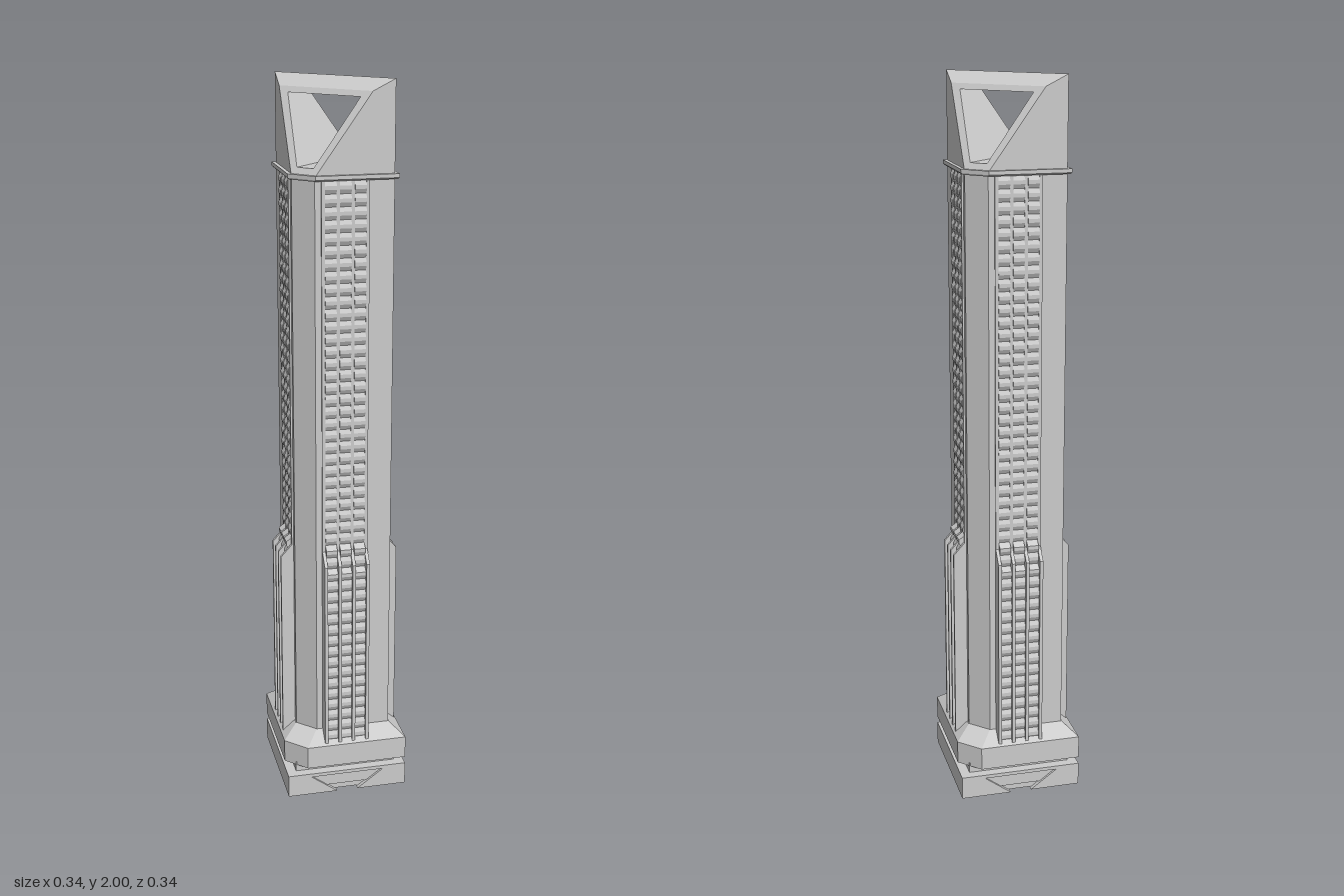
import * as THREE from 'three';

const material = new THREE.MeshStandardMaterial({ color: 0xcccccc, flatShading: true });
const vec = (x, y, z) => new THREE.Vector3(x, y, z);

function add(parent, name, geometry) {
  const mesh = new THREE.Mesh(geometry, material);
  mesh.name = name;
  parent.add(mesh);
  return mesh;
}

// Flat convex faces, each [corners, direction it should face]
function facesGeometry(faces) {
  const positions = [];
  for (const [corners, facing] of faces) {
    const normal = corners[1].clone().sub(corners[0]).cross(corners[2].clone().sub(corners[0]));
    const p = normal.dot(facing) < 0 ? [...corners].reverse() : corners;
    for (let i = 1; i < p.length - 1; i++) {
      for (const q of [p[0], p[i], p[i + 1]]) positions.push(q.x, q.y, q.z);
    }
  }
  const geometry = new THREE.BufferGeometry();
  geometry.setAttribute('position', new THREE.Float32BufferAttribute(positions, 3));
  geometry.computeVertexNormals();
  return geometry;
}

// Square outline with two opposite corners cut off
const outline = (y, h, c) => [
  [h, h], [c - h, h], [-h, h - c], [-h, -h], [h - c, -h], [h, c - h],
].map(([x, z]) => vec(x, y, z));

// Stack of cut squares, each level [y, half width, corner cut]
function loft(levels) {
  const rings = levels.map((l) => outline(...l));
  const faces = [[rings[0], vec(0, -1, 0)], [rings[rings.length - 1], vec(0, 1, 0)]];
  for (let k = 0; k < rings.length - 1; k++) {
    for (let i = 0; i < 6; i++) {
      const j = (i + 1) % 6;
      const a = rings[k][i], b = rings[k][j];
      faces.push([[a, b, rings[k + 1][j], rings[k + 1][i]], vec(a.x + b.x, 0, a.z + b.z)]);
    }
  }
  return facesGeometry(faces);
}

// Side profile of [z, y] points, extruded across x
function sideProfile(points, width) {
  const shape = new THREE.Shape(points.map(([z, y]) => new THREE.Vector2(z, y)));
  return new THREE.ExtrudeGeometry(shape, { depth: width, bevelEnabled: false })
    .translate(0, 0, -width / 2)
    .rotateY(-Math.PI / 2);
}

// Wedge crown with a diagonal ridge and a tapered opening through it
function crownGeometry() {
  const base = 1.76, shoulder = 1.97, top = 2;
  const reach = 0.13 * Math.SQRT2, vShoulder = 0.042, vBase = 0.148;
  // u runs along the ridge, v across it
  const at = (u, v, y) => vec((u - v) * Math.SQRT1_2, y, (u + v) * Math.SQRT1_2);
  const slopeV = (y) => vShoulder + (shoulder - y) / (shoulder - base) * (vBase - vShoulder);
  const hole = [[-0.025, 1.78], [0.025, 1.78], [0.11, 1.955], [-0.11, 1.955]];
  const faces = [];
  for (const s of [-1, 1]) {
    const p = (u, v, y) => at(u, s * v, y);
    const slope = [
      p(vBase - reach, vBase, base), p(reach - vBase, vBase, base),
      p(reach - vShoulder, vShoulder, shoulder), p(vShoulder - reach, vShoulder, shoulder),
    ];
    const inner = hole.map(([u, y]) => p(u, slopeV(y), y));
    // Frame around the opening
    for (let i = 0; i < 4; i++) {
      const j = (i + 1) % 4;
      faces.push([[slope[i], slope[j], inner[j], inner[i]], at(0, s, 0.5)]);
    }
    // Shallow roof strip beside the ridge
    faces.push([[p(-reach, 0, top), p(reach, 0, top), slope[2], slope[3]], vec(0, 1, 0)]);
    // Upright walls at both ends
    for (const e of [-1, 1]) {
      faces.push([[
        p(e * reach, 0, base), p(e * (reach - vBase), vBase, base),
        p(e * (reach - vShoulder), vShoulder, shoulder), p(e * reach, 0, top),
      ], at(e, s, 0)]);
    }
  }
  // Inside of the opening
  for (let i = 0; i < 4; i++) {
    const [u0, y0] = hole[i], [u1, y1] = hole[(i + 1) % 4];
    faces.push([[
      at(u0, -slopeV(y0), y0), at(u0, slopeV(y0), y0),
      at(u1, slopeV(y1), y1), at(u1, -slopeV(y1), y1),
    ], at(-(u0 + u1) / 2, 0, 1.868 - (y0 + y1) / 2)]);
  }
  return facesGeometry(faces);
}

export function createModel() {
  const model = new THREE.Group();
  model.name = 'tower';

  // Plinth: solid side bars, notched front and back bars, ribbed underside
  const plinth = new THREE.Group();
  plinth.name = 'plinth';
  model.add(plinth);
  for (const s of [-1, 1]) {
    add(plinth, 'plinthSide', new THREE.BoxGeometry(0.05, 0.055, 0.344).translate(s * 0.147, 0.0275, 0));
    const bar = new THREE.Shape([
      [0.122, 0], [0.122, 0.055], [0.105, 0.055], [0.03, 0], [0.03, 0],
    ].slice(0, 4).map(([x, y]) => new THREE.Vector2(s * x, y)));
    for (const z of [-0.172, 0.132]) {
      add(plinth, 'plinthNotchedBar',
        new THREE.ExtrudeGeometry(bar, { depth: 0.04, bevelEnabled: false }).translate(0, 0, z));
    }
  }
  add(plinth, 'plinthCore', new THREE.BoxGeometry(0.25, 0.035, 0.33).translate(0, 0.0375, 0));
  for (const s of [-1, 1]) {
    add(plinth, 'notchPanel', new THREE.BoxGeometry(0.24, 0.05, 0.01).translate(0, 0.028, s * 0.155));
  }
  for (let i = -5; i <= 5; i++) {
    add(plinth, 'undersideRib', new THREE.BoxGeometry(0.25, 0.02, 0.01).translate(0, 0.015, i * 0.024));
  }
  add(plinth, 'plinthCap', new THREE.BoxGeometry(0.344, 0.01, 0.344).translate(0, 0.06, 0));

  // Recessed neck and sloped base
  add(model, 'neck', new THREE.BoxGeometry(0.29, 0.04, 0.29).translate(0, 0.075, 0));
  add(model, 'base', loft([[0.085, 0.172, 0.057], [0.15, 0.172, 0.057], [0.185, 0.132, 0.05]]));

  // Shaft, rim and crown
  add(model, 'shaft', loft([[0.16, 0.13, 0.05], [1.756, 0.13, 0.05]]));
  add(model, 'rim', loft([[1.75, 0.136, 0.055], [1.754, 0.14, 0.06], [1.764, 0.14, 0.06]]));
  add(model, 'crown', crownGeometry());

  // Fins step back partway up the tower
  const fin = sideProfile([
    [0.1, 0.155], [0.166, 0.155], [0.166, 0.7], [0.135, 0.735], [0.135, 1.754], [0.1, 1.754],
  ], 0.009);

  // Window bays: one small ridge per floor
  const floors = 48, floorHeight = (1.75 - 0.155) / floors;
  const bayPoints = [[0.1, 0.155]];
  for (let i = 0; i < floors; i++) {
    const y = 0.155 + i * floorHeight;
    const z = y < 0.685 ? 0.153 : y < 0.72 ? 0.143 : 0.132;
    bayPoints.push([z, y], [z + 0.006, y + floorHeight * 0.35], [z + 0.006, y + floorHeight * 0.65]);
  }
  bayPoints.push([0.132, 1.75], [0.1, 1.75]);
  const bay = sideProfile(bayPoints, 0.031);

  for (let side = 0; side < 4; side++) {
    const facade = new THREE.Group();
    facade.name = 'facade';
    facade.rotation.y = side * Math.PI / 2;
    for (let i = 0; i < 4; i++) add(facade, 'fin', fin).position.x = (i - 1.5) * 0.0393;
    for (let i = -1; i <= 1; i++) add(facade, 'windowBay', bay).position.x = i * 0.0393;
    model.add(facade);
  }
  return model;
}
